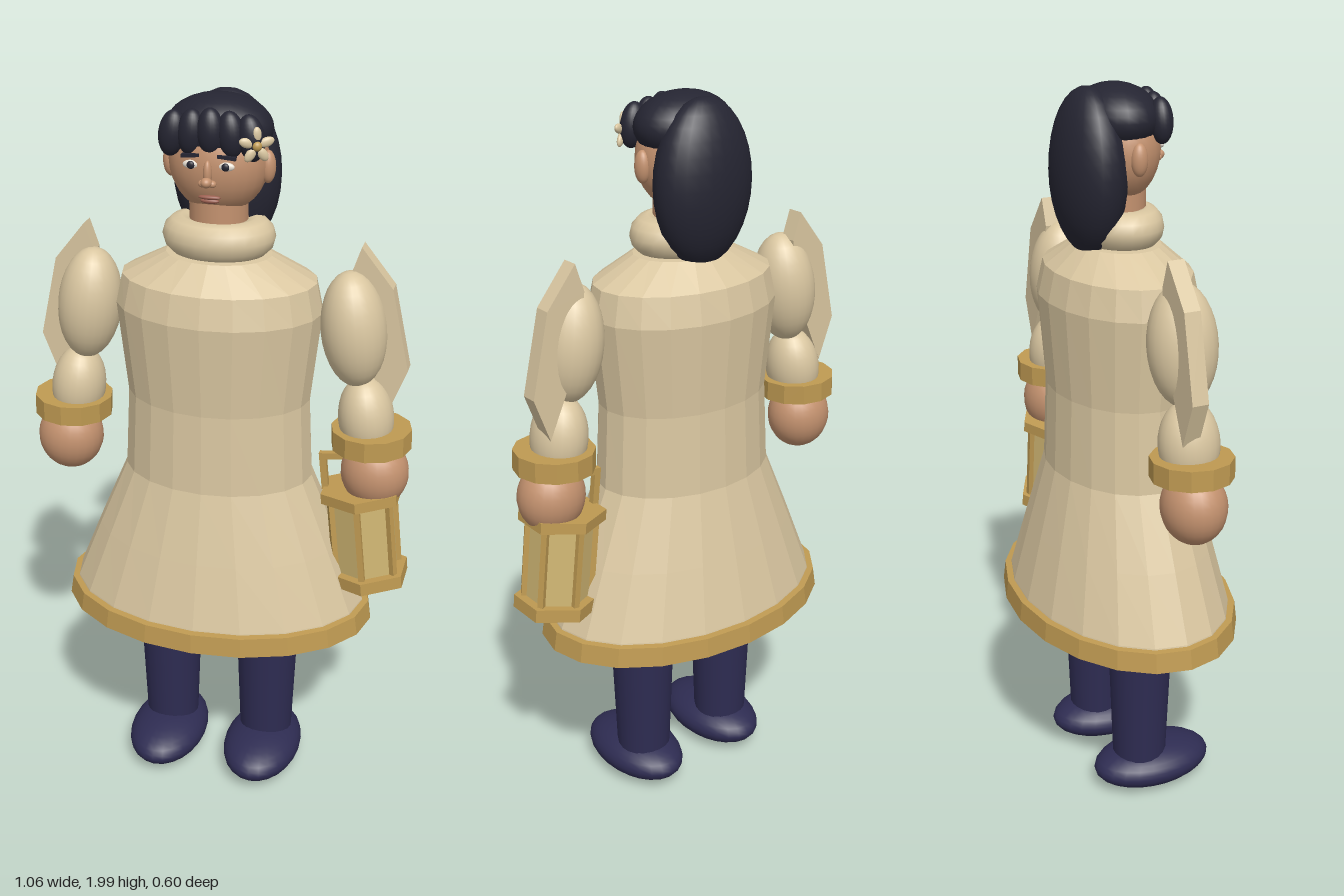
import * as THREE from 'three';

const mat = (name, hex) => {
  const m = new THREE.MeshStandardMaterial({ color: hex });
  m.name = name;
  return m;
};

export function createModel() {
  const cream = mat('cream cloth', 0xdac7a1);
  const gold = mat('gold trim', 0xbf9a52);
  const skin = mat('skin', 0xc4926f);
  const navy = mat('navy leggings', 0x2e2c52);
  const black = mat('black hair', 0x252532);
  const glass = mat('lantern glass', 0xd0b673);
  const white = mat('eye white', 0xe8e0d4);
  const red = mat('lips', 0x9a5f50);

  const root = new THREE.Group();
  root.name = 'figure';
  const body = new THREE.Group();
  body.name = 'body';
  body.position.x = -0.012;
  root.add(body);

  const add = (name, geo, material, pos = [0, 0, 0], rotZ = 0, parent = body) => {
    const m = new THREE.Mesh(geo, material);
    m.name = name;
    m.position.set(...pos);
    m.rotation.z = rotZ;
    parent.add(m);
    return m;
  };
  const blob = (name, material, pos, size, rotZ = 0, parent = body) =>
    add(name, new THREE.SphereGeometry(1, 24, 16).scale(...size), material, pos, rotZ, parent);
  const flat = (geo) => {
    const g = geo.toNonIndexed();
    g.computeVertexNormals();
    return g;
  };
  // Faceted oval loft through rows of [half width, height, half depth]
  const loft = (rows) => {
    const g = new THREE.LatheGeometry(rows.map(([x, y]) => new THREE.Vector2(x, y)), 20);
    const p = g.attributes.position;
    for (let i = 0; i < p.count; i++) {
      const [rx, , rz] = rows[i % rows.length];
      if (rx > 0) p.setZ(i, p.getZ(i) * rz / rx);
    }
    return flat(g);
  };

  // Coat and hem
  add('coat', loft([
    [0, 0.545, 0], [0.43, 0.545, 0.287], [0.418, 0.6, 0.277], [0.345, 0.78, 0.235],
    [0.262, 0.975, 0.188], [0.25, 1.2, 0.18], [0.277, 1.45, 0.198],
    [0.26, 1.53, 0.18], [0.14, 1.593, 0.11], [0, 1.6, 0],
  ]), cream);
  add('hem', loft([
    [0.425, 0.54, 0.285], [0.445, 0.54, 0.302], [0.436, 0.595, 0.296], [0.41, 0.597, 0.272],
  ]), gold);
  add('collar', new THREE.TorusGeometry(0.098, 0.05, 12, 28).rotateX(Math.PI / 2).scale(1, 1, 0.78),
    cream, [0, 1.64, 0]);

  // Sleeve wing outline for the +x side
  const wing = [[0.37, 1.635], [0.455, 1.53], [0.505, 1.31], [0.46, 1.19], [0.375, 1.38], [0.345, 1.56]];

  for (const s of [1, -1]) {
    const side = s > 0 ? 'left' : 'right';
    // Legs and shoes
    add(side + 'Leg', new THREE.CylinderGeometry(0.093, 0.076, 0.46, 20), navy, [s * 0.146, 0.325, 0]);
    blob(side + 'Shoe', navy, [s * 0.146, 0.07, 0.04], [0.112, 0.063, 0.177]);
    // Arms
    blob(side + 'UpperSleeve', cream, [s * 0.36, 1.415, 0], [0.086, 0.157, 0.09], s * 0.12);
    blob(side + 'LowerSleeve', cream, [s * 0.403, 1.17, 0], [0.074, 0.115, 0.08], s * 0.12);
    add(side + 'Cuff', flat(new THREE.CylinderGeometry(0.108, 0.108, 0.055, 12)), gold,
      [s * 0.42, 1.115, 0], s * 0.03);
    blob(side + 'Hand', skin, [s * 0.434, 1.012, 0], [0.092, 0.1, 0.085], s * 0.1);
    // Hanging sleeve panel
    const shape = new THREE.Shape(wing.map(([x, y]) => new THREE.Vector2(s * x, y)));
    add(side + 'SleeveWing', new THREE.ExtrudeGeometry(shape, { depth: 0.045, bevelEnabled: false }),
      cream, [0, 0, -0.05]);
    // Ears and eyes
    blob(side + 'Ear', skin, [s * 0.126, 1.825, 0], [0.02, 0.042, 0.022]);
    blob(side + 'EyeWhite', white, [s * 0.044, 1.845, 0.098], [0.022, 0.011, 0.008]);
    blob(side + 'Pupil', black, [s * 0.044, 1.845, 0.104], [0.01, 0.01, 0.006]);
    add(side + 'Brow', new THREE.BoxGeometry(0.046, 0.008, 0.014), black, [s * 0.046, 1.868, 0.098], -s * 0.08);
    blob(side + 'Nostril', skin, [s * 0.013, 1.803, 0.112], [0.01, 0.009, 0.01]);
  }

  // Head
  add('neck', new THREE.CylinderGeometry(0.076, 0.076, 0.16, 20), skin, [0, 1.67, 0]);
  blob('head', skin, [0, 1.835, 0], [0.128, 0.135, 0.107]);
  blob('noseBridge', skin, [0, 1.828, 0.108], [0.011, 0.032, 0.014]);
  blob('noseTip', skin, [0, 1.808, 0.12], [0.014, 0.013, 0.016]);
  blob('upperLip', red, [0, 1.763, 0.091], [0.029, 0.006, 0.009]);
  blob('lowerLip', red, [0, 1.753, 0.088], [0.024, 0.007, 0.009]);

  // Hair
  blob('backHair', black, [0, 1.782, -0.082], [0.143, 0.213, 0.09]);
  blob('hairCap', black, [0, 1.915, -0.005], [0.137, 0.085, 0.108]);
  for (let i = -2; i <= 2; i++) {
    blob('fringeLock', black, [i * 0.05, 1.925 - Math.abs(i) * 0.006, 0.083 - Math.abs(i) * 0.005],
      [0.034, 0.058, 0.03], i * 0.08);
  }

  // Flower in the hair
  const flower = new THREE.Group();
  flower.name = 'flower';
  flower.position.set(0.118, 1.9, 0.09);
  flower.rotation.y = 0.5;
  body.add(flower);
  for (let i = 0; i < 5; i++) {
    const a = Math.PI / 2 + i * Math.PI * 0.4;
    blob('petal', cream, [Math.cos(a) * 0.026, Math.sin(a) * 0.026, 0], [0.02, 0.012, 0.008], a, flower);
  }
  blob('flowerCentre', gold, [0, 0, 0.006], [0.012, 0.012, 0.01], 0, flower);

  // Lantern hanging from the left hand
  const lantern = new THREE.Group();
  lantern.name = 'lantern';
  lantern.position.set(0.416, 0.818, 0);
  lantern.rotation.z = 0.11;
  body.add(lantern);
  const hex = (r, h) => flat(new THREE.CylinderGeometry(r, r, h, 6).scale(1.1, 1, 1));
  add('lanternGlass', hex(0.082, 0.24), glass, [0, 0, 0], 0, lantern);
  add('lanternTop', hex(0.108, 0.03), gold, [0, 0.128, 0], 0, lantern);
  add('lanternBase', hex(0.108, 0.036), gold, [0, -0.124, 0], 0, lantern);
  for (let i = 0; i < 6; i++) {
    const a = i * Math.PI / 3;
    const post = add('lanternPost', new THREE.BoxGeometry(0.016, 0.24, 0.016), gold,
      [Math.sin(a) * 0.092, 0, Math.cos(a) * 0.084], 0, lantern);
    post.rotation.y = a;
  }
  for (const s of [1, -1]) {
    add('handleSide', new THREE.BoxGeometry(0.018, 0.1, 0.018), gold, [s * 0.1, 0.185, 0], 0, lantern);
  }
  add('handleBar', new THREE.BoxGeometry(0.218, 0.018, 0.018), gold, [0, 0.235, 0], 0, lantern);

  return root;
}
